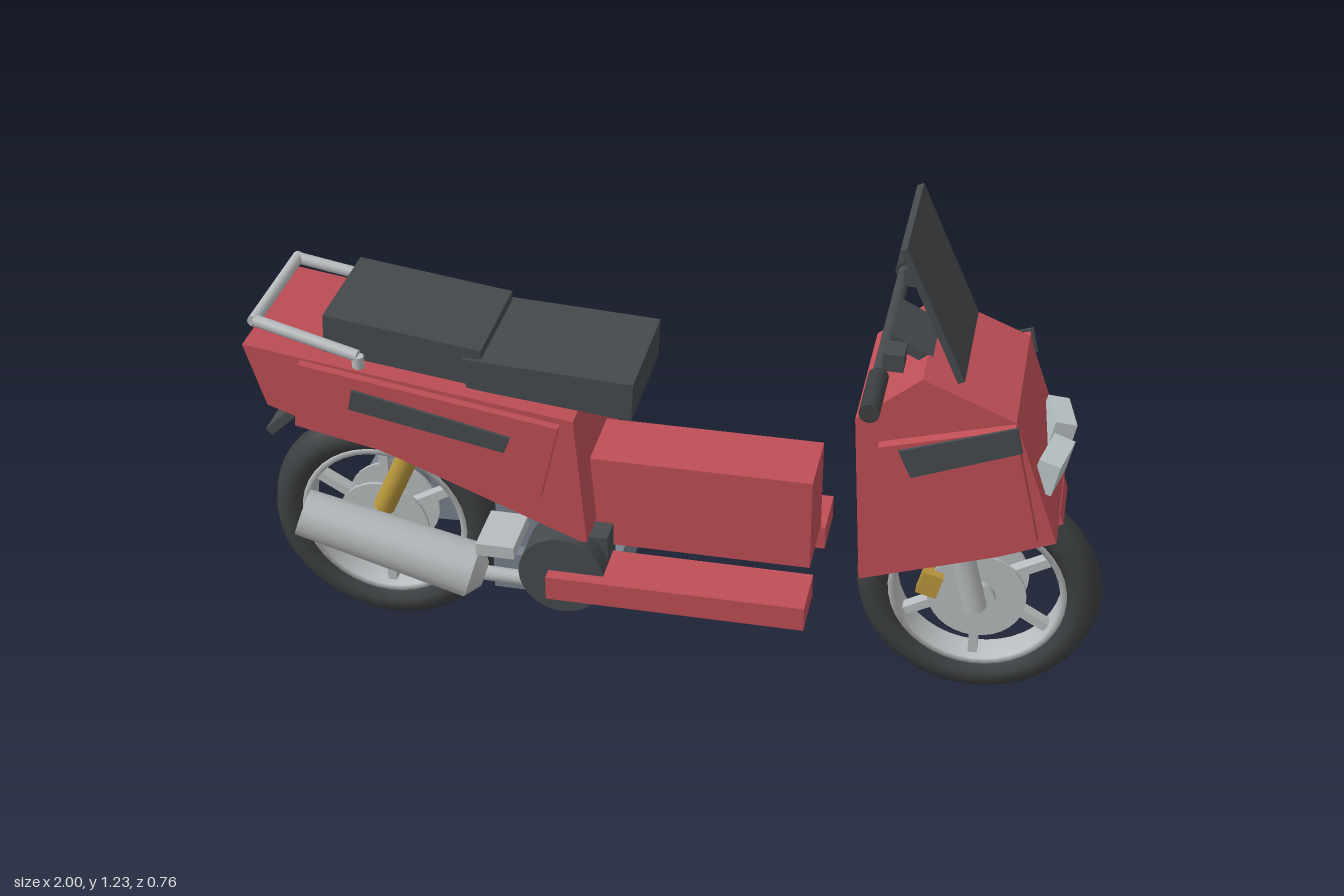
import * as THREE from 'three';

const paint = (name, color) => Object.assign(new THREE.MeshStandardMaterial({ color }), { name });
const red = paint('red bodywork', 0xbf4f56);
const dark = paint('dark trim', 0x464a4d);
const rubber = paint('tyre rubber', 0x3c3f41);
const steel = paint('engine grey', 0x78818c);
const silver = paint('silver metal', 0xb9bcbe);
const gold = paint('gold', 0xb8963c);
const lamp = paint('lamp glass', 0xbac2c4);

export function createModel() {
  const model = new THREE.Group();
  model.name = 'scooter';

  const add = (name, geo, mat, parent = model) => {
    const m = new THREE.Mesh(geo, mat);
    m.name = name;
    parent.add(m);
    return m;
  };
  // Box given by its limits on each axis
  const box = (name, mat, [x0, x1], [y0, y1], [z0, z1]) =>
    add(name, new THREE.BoxGeometry(x1 - x0, y1 - y0, z1 - z0), mat)
      .position.set((x0 + x1) / 2, (y0 + y1) / 2, (z0 + z1) / 2);
  // Side outline extruded across the width
  const plate = (name, mat, pts, z0, z1) => {
    const shape = new THREE.Shape(pts.map(([x, y]) => new THREE.Vector2(x, y)));
    const geo = new THREE.ExtrudeGeometry(shape, { depth: z1 - z0, bevelEnabled: false });
    add(name, geo.translate(0, 0, z0), mat);
  };
  // Round bar between two points
  const bar = (name, mat, a, b, ra, rb = ra, parent = model, sides = 16) => {
    const p = new THREE.Vector3(...a), q = new THREE.Vector3(...b);
    const d = q.clone().sub(p);
    const m = add(name, new THREE.CylinderGeometry(rb, ra, d.length(), sides), mat, parent);
    m.position.copy(p).add(q).multiplyScalar(0.5);
    m.quaternion.setFromUnitVectors(new THREE.Vector3(0, 1, 0), d.normalize());
  };
  // Slab along a line in the side view
  const slab = (name, mat, [x0, y0], [x1, y1], thick, width) => {
    const m = add(name, new THREE.BoxGeometry(Math.hypot(x1 - x0, y1 - y0), thick, width), mat);
    m.position.set((x0 + x1) / 2, (y0 + y1) / 2, 0);
    m.rotation.z = Math.atan2(y1 - y0, x1 - x0);
  };

  // Wheels: tyre, rim, spokes, hub and discs
  const ring = (pts) => new THREE.LatheGeometry(pts.map(([r, y]) => new THREE.Vector2(r, y)), 40).rotateX(Math.PI / 2);
  const wheel = (name, x) => {
    const g = new THREE.Group();
    g.name = name;
    g.position.set(x, 0.29, 0);
    model.add(g);
    add('tyre', ring([[0.205, -0.035], [0.225, -0.053], [0.25, -0.052], [0.273, -0.035], [0.285, 0],
      [0.273, 0.035], [0.25, 0.052], [0.225, 0.053], [0.205, 0.035], [0.205, -0.035]]), rubber, g);
    add('rim', ring([[0.192, -0.037], [0.208, -0.037], [0.208, 0.037], [0.192, 0.037], [0.192, -0.037]]), silver, g);
    for (let i = 0; i < 6; i++) {
      const a = (i * Math.PI) / 3 + Math.PI / 6;
      const spoke = add('spoke', new THREE.BoxGeometry(0.17, 0.022, 0.03).translate(0.11, 0, 0), silver, g);
      spoke.rotation.z = a;
    }
    bar('hub', silver, [0, 0, -0.065], [0, 0, 0.065], 0.045, 0.045, g, 24);
    for (const s of [-1, 1]) bar('brakeDisc', silver, [0, 0, s * 0.04], [0, 0, s * 0.048], 0.115, 0.115, g, 32);
  };
  wheel('rearWheel', -0.715);
  wheel('frontWheel', 0.715);

  // Front cowl and mudguard lip
  plate('frontCowl', red, [[0.43, 0.825], [0.455, 0.4], [0.76, 0.505], [0.885, 0.56], [0.775, 0.86], [0.57, 0.943]], -0.185, 0.185);
  slab('mudguardLip', red, [0.72, 0.49], [0.89, 0.55], 0.03, 0.15);

  // Tail body
  plate('tailBody', red, [[-0.965, 0.845], [-0.92, 0.69], [-0.62, 0.585], [-0.19, 0.41], [-0.175, 0.41], [-0.2, 0.735]], -0.185, 0.185);

  // Centre tunnel
  box('centreTunnel', red, [-0.19, 0.33], [0.34, 0.575], [-0.087, 0.087]);

  // Windscreen
  slab('windscreen', dark, [0.65, 0.925], [0.51, 1.232], 0.016, 0.305);

  // Seats
  plate('rearSeat', dark, [[-0.785, 0.915], [-0.79, 0.82], [-0.42, 0.77], [-0.42, 0.865]], -0.138, 0.138);
  plate('frontSeat', dark, [[-0.46, 0.845], [-0.455, 0.77], [-0.075, 0.73], [-0.07, 0.825]], -0.148, 0.148);

  // Rear mud flap
  slab('mudFlap', dark, [-0.96, 0.555], [-0.83, 0.68], 0.022, 0.2);

  // Handlebar
  bar('handlebar', dark, [0.48, 0.968, -0.25], [0.48, 0.968, 0.25], 0.015);
  slab('handlebarStem', dark, [0.48, 0.975], [0.58, 0.925], 0.025, 0.16);

  // Parts on both sides
  for (const s of [-1, 1]) {
    const span = (a, b) => (s > 0 ? [a, b] : [-b, -a]);
    box('floorboard', red, [-0.265, 0.34], [0.267, 0.328], span(0.095, 0.23));
    plate('cowlPanel', red, [[0.485, 0.775], [0.51, 0.5], [0.845, 0.57], [0.775, 0.857]], ...span(0.185, 0.21));
    plate('cowlVent', dark, [[0.53, 0.775], [0.56, 0.71], [0.795, 0.805], [0.78, 0.865]], ...span(0.21, 0.217));
    plate('tailPanel', red, [[-0.83, 0.82], [-0.85, 0.655], [-0.275, 0.535], [-0.23, 0.725]], ...span(0.185, 0.205));
    plate('tailVent', dark, [[-0.705, 0.77], [-0.715, 0.72], [-0.355, 0.65], [-0.34, 0.69]], ...span(0.205, 0.213));

    const light = add('headlight', new THREE.BoxGeometry(0.05, 0.08, 0.115), lamp);
    light.position.set(0.858, 0.697, s * 0.082);
    light.rotation.set(0, -s * 0.22, -0.2);

    bar('grip', rubber, [0.48, 0.968, s * 0.23], [0.48, 0.968, s * 0.38], 0.022);
    box('brakeReservoir', dark, [0.485, 0.53], [0.972, 1.013], span(0.155, 0.213));

    bar('fork', silver, [0.715, 0.285, s * 0.085], [0.655, 0.51, s * 0.085], 0.029);
    const caliper = add('caliper', new THREE.BoxGeometry(0.05, 0.06, 0.03), gold);
    caliper.position.set(0.607, 0.318, s * 0.055);
    caliper.rotation.z = -0.25;

    bar('shock', gold, [-0.69, 0.38, s * 0.1], [-0.595, 0.59, s * 0.1], 0.026);
    box('footpeg', silver, [-0.42, -0.33], [0.388, 0.42], span(0.12, 0.256));
    bar('grabRailSide', silver, [-0.945, 0.89, s * 0.148], [-0.7, 0.835, s * 0.165], 0.014);
    bar('grabRailFoot', silver, [-0.7, 0.835, s * 0.165], [-0.7, 0.78, s * 0.165], 0.014);
  }
  bar('grabRailBack', silver, [-0.945, 0.89, -0.155], [-0.945, 0.89, 0.155], 0.014);

  // Engine and drive case
  box('engineBlock', steel, [-0.42, -0.12], [0.2, 0.3], [-0.12, 0.12]);
  box('engineCylinder', steel, [-0.42, -0.2], [0.29, 0.46], [-0.085, 0.085]);
  plate('driveCase', steel, [[-0.24, 0.41], [-0.25, 0.22], [-0.72, 0.205], [-0.74, 0.375]], -0.195, -0.11);
  bar('frontPulleyCover', steel, [-0.235, 0.315, -0.21], [-0.235, 0.315, -0.1], 0.105, 0.105, model, 28);
  bar('rearPulleyCover', steel, [-0.725, 0.29, -0.205], [-0.725, 0.29, -0.06], 0.088, 0.088, model, 28);
  plate('airFilter', steel, [[-0.6, 0.54], [-0.57, 0.43], [-0.34, 0.39], [-0.34, 0.52]], -0.18, -0.09);
  bar('fanCover', dark, [-0.235, 0.315, 0.09], [-0.235, 0.315, 0.2], 0.102, 0.102, model, 28);
  box('starterMotor', dark, [-0.2, -0.135], [0.27, 0.4], [0.07, 0.15]);

  // Exhaust
  bar('muffler', silver, [-0.855, 0.41, 0.2], [-0.46, 0.275, 0.165], 0.056, 0.067, model, 20);
  bar('mufflerCone', silver, [-0.46, 0.275, 0.165], [-0.43, 0.265, 0.162], 0.067, 0.03, model, 20);
  bar('exhaustPipe', silver, [-0.44, 0.27, 0.163], [-0.25, 0.24, 0.13], 0.018);

  return model;
}
